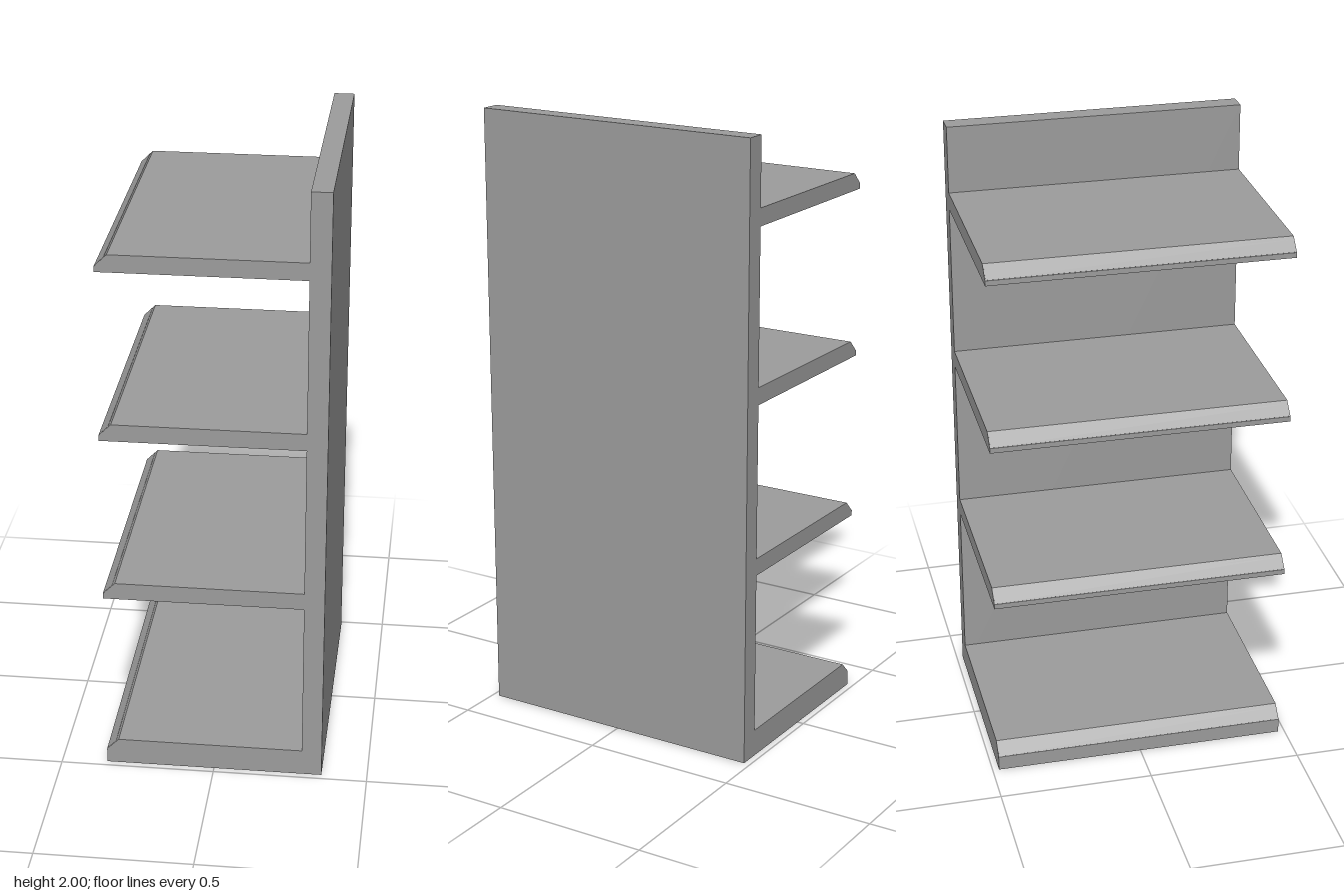
import * as THREE from 'three';

const DEPTH = 0.958;
const BACK_X = 0.287;   // inner face of the back panel
const FRONT_X = -0.352; // free edge of the shelves
const BEVEL = 0.039;

export function createModel() {
  const group = new THREE.Group();
  group.name = 'shelfUnit';
  const material = new THREE.MeshStandardMaterial({ color: 0x9c9c9c });

  // Sweep an x-y profile along z, centred on z = 0
  const addProfile = (name, points, length = DEPTH) => {
    const shape = new THREE.Shape(points.map(([x, y]) => new THREE.Vector2(x, y)));
    const geometry = new THREE.ExtrudeGeometry(shape, { depth: length, bevelEnabled: false });
    geometry.translate(0, 0, -length / 2);
    const mesh = new THREE.Mesh(geometry, material);
    mesh.name = name;
    group.add(mesh);
  };

  // Upright back panel
  addProfile('backPanel', [[BACK_X, 0], [0.352, 0], [0.352, 2], [BACK_X, 2]]);

  // Shelves with a chamfered front edge: [bottom, top]
  const levels = [[0, 0.088], [0.616, 0.672], [1.171, 1.227], [1.725, 1.781]];
  levels.forEach(([bottom, top], i) => {
    addProfile(i === 0 ? 'baseShelf' : `shelf${i}`, [
      [FRONT_X, bottom], [BACK_X, bottom], [BACK_X, top],
      [FRONT_X + BEVEL, top], [FRONT_X, top - BEVEL],
    ]);

    // Thin label strip lying on the chamfer
    const lift = 0.0006;
    const onBevel = (t, d) => [FRONT_X + BEVEL * t - d, top - BEVEL * (1 - t) + d];
    addProfile(`labelStrip${i}`, [
      onBevel(0.03, 0), onBevel(0.78, 0), onBevel(0.78, lift), onBevel(0.03, lift),
    ], DEPTH - 0.004);
  });

  return group;
}
